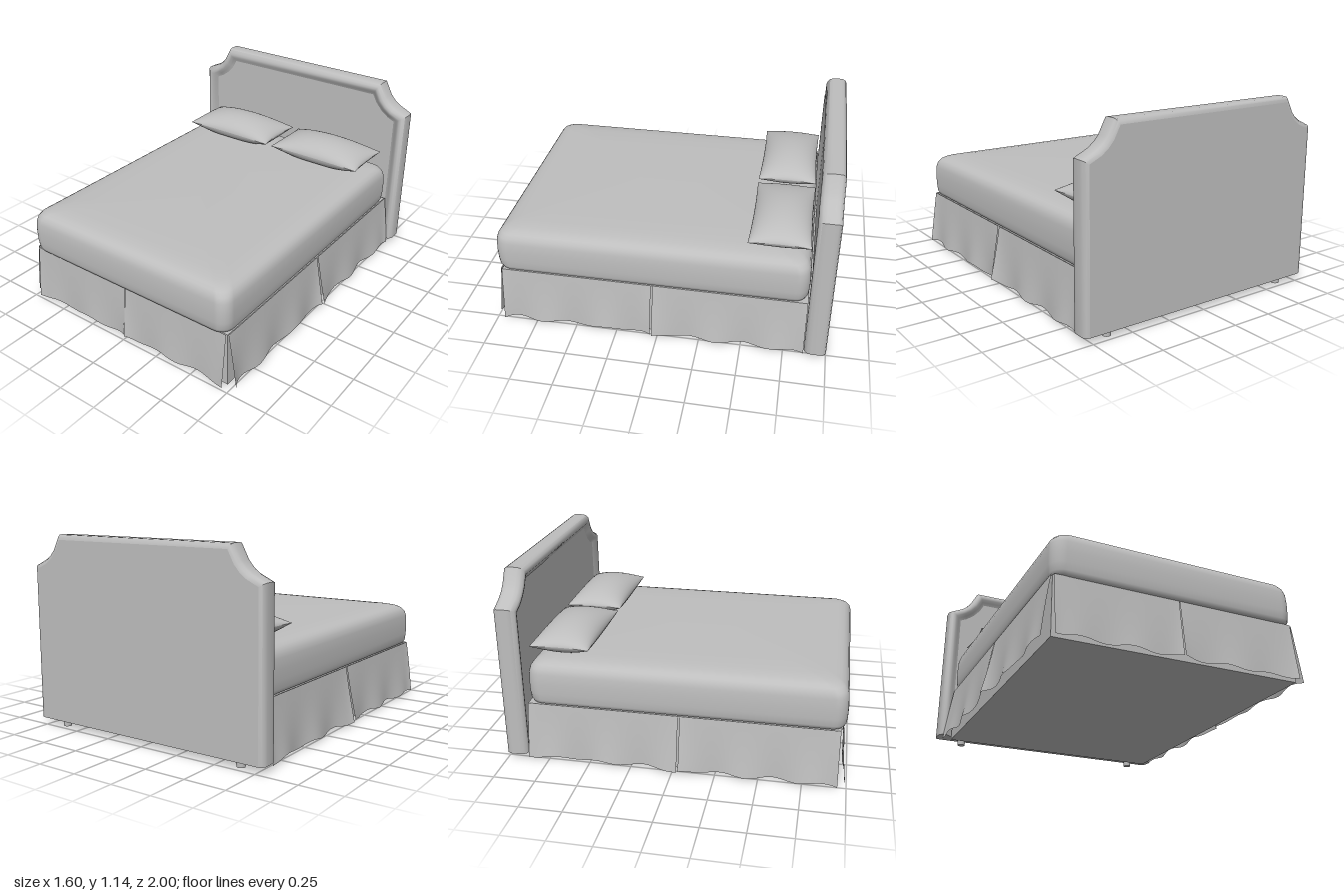
import * as THREE from 'three';
import { mergeGeometries, toCreasedNormals } from 'three/addons/utils/BufferGeometryUtils.js';

const fabric = new THREE.MeshStandardMaterial({ color: 0xbebebe, side: THREE.DoubleSide });
fabric.name = 'grey fabric';

function add(parent, name, geometry) {
  const mesh = new THREE.Mesh(geometry, fabric);
  mesh.name = name;
  parent.add(mesh);
  return mesh;
}

// Skin a list of point rows into a surface.
function skin(rows, closed) {
  const n = rows[0].length, index = [];
  for (let j = 0; j < rows.length - 1; j++) {
    for (let i = 0; i < (closed ? n : n - 1); i++) {
      const k = (i + 1) % n;
      const a = j * n + i, b = j * n + k, c = a + n, d = b + n;
      index.push(a, c, b, b, c, d);
    }
  }
  const g = new THREE.BufferGeometry();
  g.setAttribute('position', new THREE.Float32BufferAttribute(rows.flat(2), 3));
  g.setIndex(index);
  g.computeVertexNormals();
  return g;
}

// Headboard: notched outline, rounded border and recessed panel.
function headboard() {
  const group = new THREE.Group();
  group.name = 'headboard';
  const right = [[0.605, 1.145], [0.65, 1.06], [0.68, 1.026], [0.715, 1.0], [0.8, 0.96], [0.8, 0.04]];
  const left = right.map(([x, y]) => [-x, y]).reverse();
  const path = [...left, ...right].map(p => new THREE.Vector2(...p));
  const inward = (p, q) => new THREE.Vector2(q.y - p.y, p.x - q.x).normalize();
  const offset = d => path.map((p, i) => {
    const n1 = inward(path[Math.max(i - 1, 0)], path[Math.max(i, 1)]);
    const last = path.length - 1;
    const n2 = inward(path[Math.min(i, last - 1)], path[Math.min(i + 1, last)]);
    const m = n1.clone().add(n2);
    return p.clone().addScaledVector(m, d / (1 + n1.dot(n2)));
  });

  // border profile as inset and z, from the back to the panel
  const profile = [[0.03, -1], [0.012, -0.994], [0.002, -0.978], [0, -0.96], [0, -0.915],
    [0.006, -0.893], [0.02, -0.877], [0.035, -0.872], [0.05, -0.876], [0.066, -0.89], [0.085, -0.9]];
  const rows = profile.map(([d, z]) => offset(d).map(p => [p.x, p.y, z]));
  add(group, 'headboardBorder', toCreasedNormals(skin(rows, false), 0.9));
  add(group, 'headboardPanel', new THREE.ShapeGeometry(new THREE.Shape(offset(0.085))).translate(0, 0, -0.9));
  add(group, 'headboardBack', new THREE.ShapeGeometry(new THREE.Shape(offset(0.03))).rotateY(Math.PI).translate(0, 0, -1));
  const section = [
    ...profile.map(([d, z]) => new THREE.Vector2(d - 0.8, z)),
    ...profile.map(([d, z]) => new THREE.Vector2(0.8 - d, z)).reverse(),
  ];
  add(group, 'headboardUnderside', new THREE.ShapeGeometry(new THREE.Shape(section)).rotateX(Math.PI / 2).translate(0, 0.04, 0));

  for (const s of [-1, 1]) {
    add(group, s > 0 ? 'leftFoot' : 'rightFoot', new THREE.CylinderGeometry(0.026, 0.024, 0.05, 20))
      .position.set(s * 0.63, 0.025, -0.945);
  }
  return group;
}

// Mattress: stacked rounded rectangles with a softly domed top.
function mattress() {
  const levels = [[0.12, 0.345], [0.03, 0.346], [0.014, 0.353], [0.005, 0.375], [0.001, 0.42], [0, 0.48],
    [0.003, 0.54], [0.012, 0.572], [0.028, 0.594], [0.05, 0.608], [0.085, 0.618], [0.15, 0.626], [0.3, 0.631], [0.73, 0.633]];
  const rows = levels.map(([d, y]) => {
    const hx = 0.73 - d, hz = 0.927 - d, r = Math.min(0.075, hx), row = [];
    for (let q = 0; q < 4; q++) {
      for (let k = 0; k <= 6; k++) {
        const a = (q + k / 6) * Math.PI / 2;
        const sx = q === 0 || q === 3 ? 1 : -1, sz = q < 2 ? 1 : -1;
        row.push([sx * (hx - r) + r * Math.cos(a), y, 0.055 + sz * (hz - r) + r * Math.sin(a)]);
      }
    }
    return row;
  });
  return skin(rows, true);
}

// Pillow: two puffed sheets meeting at a pinched seam.
function pillow() {
  const sheets = [1, -1].map(side => {
    const g = new THREE.PlaneGeometry(2, 2, 28, 20).rotateX(-side * Math.PI / 2);
    const p = g.attributes.position;
    for (let i = 0; i < p.count; i++) {
      const u = Math.sin(p.getX(i) * Math.PI / 2), v = Math.sin(p.getZ(i) * Math.PI / 2);
      const puff = Math.pow(Math.max(0, (1 - u * u) * (1 - v * v)), 0.55);
      const y = side > 0 ? 0.088 * puff : -Math.min(0.052, 0.1 * puff);
      p.setXYZ(i, 0.322 * u * (1 - 0.05 * (1 - v * v)), y, 0.178 * v * (1 - 0.04 * (1 - u * u)));
    }
    g.computeVertexNormals();
    return g;
  });
  return mergeGeometries(sheets);
}

// Skirt panel: hangs from the top edge, flaring and rippling toward the hem.
function skirtPanel(width, flare, phase) {
  const g = new THREE.PlaneGeometry(width, 0.34, 40, 8);
  const p = g.attributes.position;
  for (let i = 0; i < p.count; i++) {
    const x = p.getX(i), u = 2 * x / width, t = 0.5 - p.getY(i) / 0.34;
    const wave = Math.sin(x * 17 + phase);
    const out = t * (0.034 + 0.012 * wave * t + 0.022 * Math.pow(Math.abs(u), 10));
    const lift = t * t * 0.008 * (1 + Math.sin(x * 23 + phase * 2));
    p.setXYZ(i, x, 0.35 - 0.34 * t + lift, flare * out);
  }
  g.computeVertexNormals();
  return g;
}

export function createModel() {
  const bed = new THREE.Group();
  bed.name = 'bed';
  bed.add(headboard());

  add(bed, 'base', new THREE.BoxGeometry(1.44, 0.34, 1.82)).position.set(0, 0.178, 0.04);
  add(bed, 'mattress', mattress());

  const pillowShape = pillow();
  for (const s of [-1, 1]) {
    const side = s > 0 ? 'left' : 'right';
    add(bed, side + 'Pillow', pillowShape).position.set(s * 0.343, 0.687, -0.682);

    add(bed, side + 'FrontSkirt', skirtPanel(0.712, 0.6, 1 + s)).position.set(s * 0.358, 0, 0.958);
    const rear = add(bed, side + 'SideSkirtRear', skirtPanel(0.9, 1, 2 + s));
    rear.position.set(s * 0.726, 0, -0.42);
    const fore = add(bed, side + 'SideSkirtFore', skirtPanel(0.91, 1, 4 + s));
    fore.position.set(s * 0.726, 0, 0.495);
    rear.rotation.y = fore.rotation.y = s * Math.PI / 2;
  }
  return bed;
}
